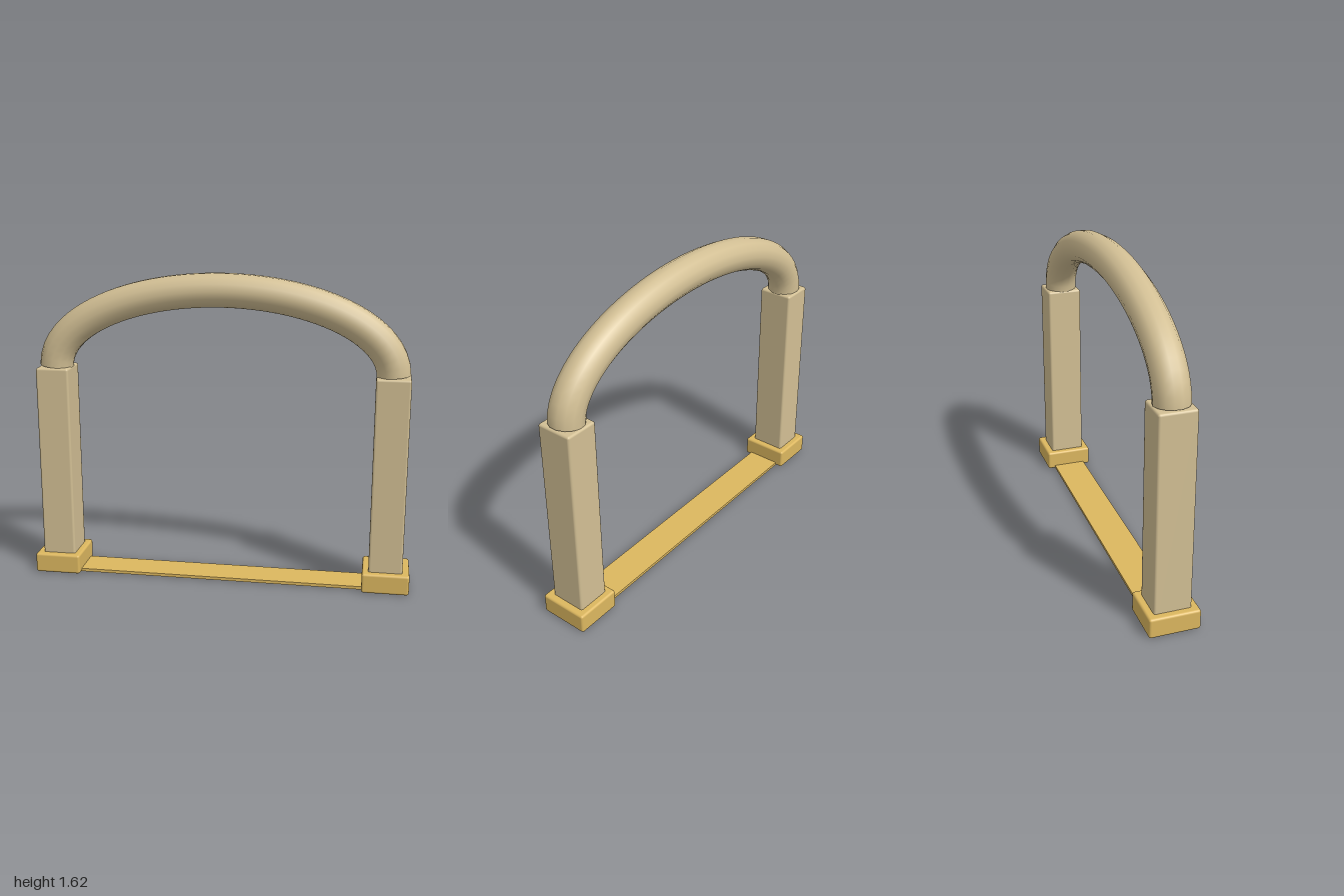
import * as THREE from 'three';
import { RoundedBoxGeometry } from 'three/addons/geometries/RoundedBoxGeometry.js';

const stone = new THREE.MeshStandardMaterial({ color: 0xd2bf94 });
const archStone = new THREE.MeshStandardMaterial({ color: 0xd2bf94, side: THREE.DoubleSide });
const gold = new THREE.MeshStandardMaterial({ color: 0xdcb75f });

function addPart(group, name, geometry, material, x = 0, y = 0, z = 0) {
  const mesh = new THREE.Mesh(geometry, material);
  mesh.name = name;
  mesh.position.set(x, y, z);
  group.add(mesh);
}

export function createModel() {
  const group = new THREE.Group();
  group.name = 'archway';

  // Square posts standing in plinths, mirrored left and right
  const postGeometry = new RoundedBoxGeometry(0.175, 1.123, 0.19, 2, 0.012);
  const plinthGeometry = new RoundedBoxGeometry(0.244, 0.105, 0.26, 2, 0.012);
  for (const [side, sign] of [['left', 1], ['right', -1]]) {
    addPart(group, side + 'Post', postGeometry, stone, sign * 0.876, 0.5635);
    addPart(group, side + 'Plinth', plinthGeometry, gold, sign * 0.878, 0.0525);
  }

  // Thin threshold strip joining the plinths
  addPart(group, 'threshold', new THREE.BoxGeometry(1.56, 0.016, 0.18), gold, 0, 0.01);

  // Round bar bent over a half ellipse
  const points = [];
  for (let i = 0; i <= 40; i++) {
    const a = Math.PI * (1 - i / 40);
    points.push(new THREE.Vector3(0.875 * Math.cos(a), 1.127 + 0.41 * Math.sin(a), 0));
  }
  const path = new THREE.CatmullRomCurve3(points);
  addPart(group, 'arch', new THREE.TubeGeometry(path, 48, 0.0875, 14, false), archStone);

  return group;
}
